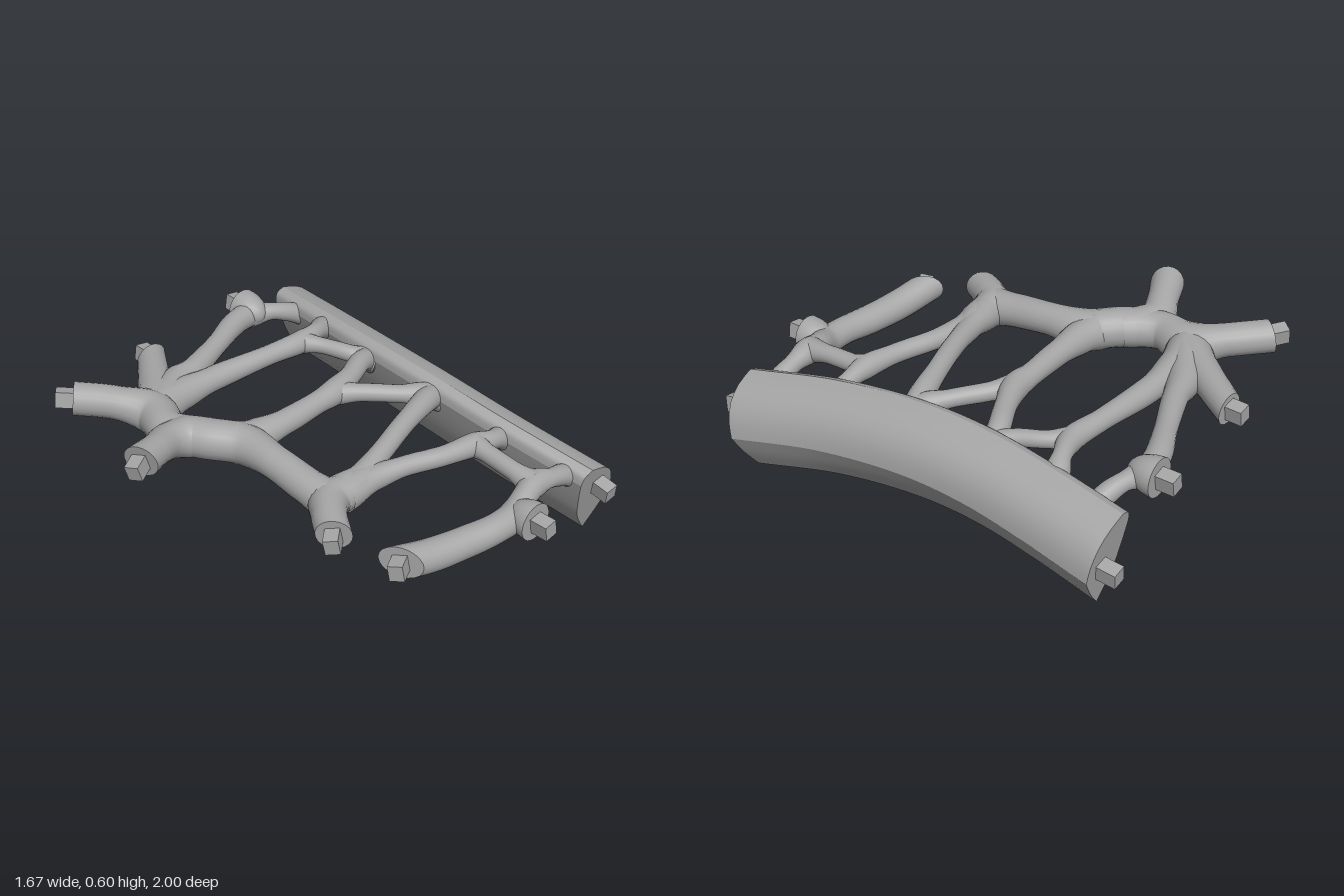
import * as THREE from 'three';
import { mergeGeometries } from 'three/addons/utils/BufferGeometryUtils.js';

const grey = new THREE.MeshStandardMaterial({ color: 0xa6a6a6, side: THREE.DoubleSide });
grey.name = 'grey';
const V = (x, y, z) => new THREE.Vector3(x, y, z);

export function createModel() {
  const group = new THREE.Group();
  const add = (name, geo) => {
    const m = new THREE.Mesh(geo, grey);
    m.name = name;
    group.add(m);
    return m;
  };

  // Square peg standing out of an end face along direction n
  const peg = (name, at, n, roll = 0.17) => {
    const m = add(name, new THREE.BoxGeometry(0.06, 0.068, 0.12));
    m.position.copy(at).addScaledVector(n, 0.013);
    m.lookAt(m.position.clone().add(n));
    m.rotateZ(roll);
  };

  // Branch through [x, y, z, radius] points; with a cut normal the start gets a flat face and a peg
  const branch = (name, pts, cut) => {
    const curve = new THREE.CatmullRomCurve3(pts.map(p => V(p[0], p[1], p[2])));
    const n = Math.ceil(curve.getLength() / 0.02), sides = 20;
    const geo = new THREE.TubeGeometry(curve, n, 1, sides);
    const pos = geo.attributes.position, p = V(), dir = cut && V(...cut).normalize();
    for (let i = 0; i <= n; i++) {
      const c = curve.getPointAt(i / n), tan = curve.getTangentAt(i / n);
      const t = curve.getUtoTmapping(i / n) * (pts.length - 1);
      const k = Math.min(Math.floor(t), pts.length - 2);
      const r = THREE.MathUtils.lerp(pts[k][3], pts[k + 1][3], THREE.MathUtils.smoothstep(t - k, 0, 1));
      for (let j = 0; j <= sides; j++) {
        const q = i * (sides + 1) + j;
        p.fromBufferAttribute(pos, q).sub(c).multiplyScalar(r);
        if (cut && i < 7) p.addScaledVector(tan, -p.dot(dir) / tan.dot(dir) * (1 - i / 7));
        p.add(c);
        pos.setXYZ(q, p.x, p.y, p.z);
      }
    }
    if (!cut) return add(name, geo);
    const c = curve.getPointAt(0), cap = new THREE.CircleGeometry(1, sides), cp = cap.attributes.position;
    cp.setXYZ(0, c.x, c.y, c.z);
    for (let j = 0; j <= sides; j++) cp.setXYZ(j + 1, pos.getX(j), pos.getY(j), pos.getZ(j));
    // Turn the cap so that it faces along the cut normal
    const a = V().fromBufferAttribute(cp, 1).sub(c), b = V().fromBufferAttribute(cp, 2).sub(c);
    if (a.cross(b).dot(dir) < 0) cap.index.array.reverse();
    cap.computeVertexNormals();
    add(name, mergeGeometries([geo, cap]));
    peg(name + 'Peg', c, dir);
  };

  // Curved edge beam: one section swept from back to front, with leaning end faces
  const path = new THREE.CatmullRomCurve3([
    V(0.838, 0.11, -0.89), V(0.788, 0.132, -0.58), V(0.75, 0.143, -0.29),
    V(0.735, 0.132, 0), V(0.75, 0.08, 0.4), V(0.808, 0, 0.8)]);
  const place = (x, y, v) => {
    const c = path.getPoint(v);
    return V(c.x + x, c.y + y * THREE.MathUtils.lerp(0.95, 1, v),
      c.z + THREE.MathUtils.lerp(-0.04, 0.09, v) * y / 0.38);
  };
  const section = [
    [[-0.1, 0], [-0.045, 0.08], [0, 0.165]],
    [[0, 0.165], [-0.012, 0.235], [-0.05, 0.305], [-0.115, 0.353], [-0.195, 0.38]],
    [[-0.195, 0.38], [-0.235, 0.362], [-0.245, 0.32]],
    [[-0.245, 0.32], [-0.22, 0.22], [-0.18, 0.11], [-0.1, 0]]
  ].map(s => new THREE.SplineCurve(s.map(p => new THREE.Vector2(...p))));
  const remap = (geo, f) => {
    const pos = geo.attributes.position;
    for (let i = 0; i < pos.count; i++) {
      const p = f(i, pos);
      pos.setXYZ(i, p.x, p.y, p.z);
    }
    geo.computeVertexNormals();
    return geo;
  };
  const faces = section.map(s => {
    const geo = new THREE.PlaneGeometry(1, 1, 8, 48);
    return remap(geo, i => {
      const p = s.getPoint(geo.attributes.uv.getX(i));
      return place(p.x, p.y, geo.attributes.uv.getY(i));
    });
  });
  for (const v of [0, 1]) {
    const outline = section.flatMap(s => s.getPoints(8).slice(0, -1));
    const cap = new THREE.ShapeGeometry(new THREE.Shape(outline));
    if (v === 0) cap.index.array.reverse();
    faces.push(remap(cap, (i, pos) => place(pos.getX(i), pos.getY(i), v)));
  }
  add('edgeBeam', mergeGeometries(faces));
  peg('beamFrontPeg', V(0.69, 0.26, 0.865), V(0, -0.2, 1).normalize());
  peg('beamBackPeg', V(0.75, 0.285, -0.918), V(0, -0.08, -1).normalize());

  // Bell-shaped bosses with a flat outer face
  for (const [name, x, y, z, s] of [['frontBoss', 0.225, 0.345, 0.92, 1], ['backBoss', 0.39, 0.475, -0.925, -1]]) {
    const dome = new THREE.SphereGeometry(0.08, 24, 10, 0, Math.PI * 2, 0, Math.PI / 2);
    dome.rotateX(-Math.PI / 2).scale(1, 1, 1.65);
    const boss = add(name, mergeGeometries([dome, new THREE.CircleGeometry(0.08, 24)]));
    boss.position.set(x, y, z);
    if (s < 0) boss.rotation.y = Math.PI;
    peg(name + 'Peg', V(x, y, z + s * 0.005), V(0, 0, s));
  }

  // Thick limbs
  branch('spine', [[-0.65, 0.515, -0.81, 0.07], [-0.54, 0.505, -0.68, 0.07], [-0.455, 0.48, -0.54, 0.09],
    [-0.485, 0.475, -0.4, 0.08], [-0.42, 0.475, -0.26, 0.085], [-0.33, 0.465, -0.13, 0.084],
    [-0.32, 0.455, 0.05, 0.069], [-0.32, 0.435, 0.22, 0.072], [-0.31, 0.42, 0.34, 0.084], [-0.3, 0.42, 0.39, 0.03]],
    [-0.75, 0.1, -0.65]);
  branch('leftLimb', [[-0.75, 0.525, -0.26, 0.072], [-0.65, 0.505, -0.3, 0.066], [-0.55, 0.485, -0.335, 0.075],
    [-0.47, 0.477, -0.32, 0.086], [-0.4, 0.475, -0.25, 0.08]], [-0.9, -0.2, 0.42]);
  branch('backLimb', [[-0.165, 0.46, -0.9, 0.062], [-0.245, 0.465, -0.79, 0.066], [-0.325, 0.47, -0.68, 0.075],
    [-0.39, 0.475, -0.6, 0.085], [-0.47, 0.48, -0.51, 0.07]], [0.05, 0, -1]);
  branch('frontLimb', [[-0.44, 0.405, 0.485, 0.07], [-0.38, 0.415, 0.4, 0.07], [-0.31, 0.42, 0.335, 0.085],
    [-0.2, 0.418, 0.335, 0.07], [-0.08, 0.418, 0.325, 0.05], [0, 0.42, 0.32, 0.025]], [-0.78, -0.1, 0.62]);
  branch('frontRail', [[-0.335, 0.355, 0.735, 0.068], [-0.2, 0.333, 0.765, 0.067], [-0.05, 0.326, 0.795, 0.064],
    [0.1, 0.33, 0.825, 0.06], [0.22, 0.338, 0.825, 0.062], [0.3, 0.368, 0.8, 0.05], [0.38, 0.383, 0.785, 0.056],
    [0.47, 0.365, 0.79, 0.04], [0.55, 0.34, 0.79, 0.046], [0.64, 0.29, 0.79, 0.05]], [-0.88, 0, 0.47]);

  // Thin struts, flared where they join
  branch('backStrut', [[-0.38, 0.475, -0.58, 0.08], [-0.23, 0.465, -0.655, 0.074], [-0.1, 0.465, -0.695, 0.052],
    [0.1, 0.465, -0.775, 0.046], [0.27, 0.47, -0.845, 0.053], [0.38, 0.465, -0.87, 0.058]]);
  branch('backBossStrut', [[0.38, 0.465, -0.86, 0.058], [0.47, 0.46, -0.82, 0.038], [0.54, 0.44, -0.795, 0.043],
    [0.64, 0.39, -0.77, 0.05]]);
  branch('secondStrut', [[-0.42, 0.475, -0.56, 0.085], [-0.28, 0.468, -0.58, 0.07], [-0.1, 0.465, -0.58, 0.054],
    [0.2, 0.47, -0.545, 0.044], [0.37, 0.472, -0.525, 0.05], [0.47, 0.465, -0.55, 0.038], [0.55, 0.44, -0.58, 0.052],
    [0.63, 0.395, -0.6, 0.06]]);
  branch('secondBrace', [[0.36, 0.472, -0.53, 0.048], [0.42, 0.465, -0.44, 0.035], [0.47, 0.455, -0.33, 0.037],
    [0.54, 0.43, -0.24, 0.055]]);
  branch('middleStrut', [[-0.36, 0.465, -0.17, 0.09], [-0.26, 0.463, -0.145, 0.07], [-0.1, 0.462, -0.135, 0.053],
    [0.08, 0.465, -0.14, 0.048], [0.2, 0.47, -0.145, 0.057], [0.33, 0.465, -0.19, 0.045], [0.46, 0.455, -0.25, 0.046],
    [0.58, 0.4, -0.28, 0.065]]);
  branch('middleBrace', [[0.18, 0.467, -0.145, 0.052], [0.28, 0.46, -0.07, 0.039], [0.39, 0.45, 0.03, 0.038],
    [0.48, 0.437, 0.1, 0.052], [0.57, 0.39, 0.15, 0.06]]);
  branch('thirdStrut', [[0.57, 0.39, 0.09, 0.06], [0.47, 0.437, 0.13, 0.053], [0.25, 0.45, 0.2, 0.044],
    [0.05, 0.44, 0.265, 0.044], [-0.1, 0.425, 0.305, 0.05], [-0.25, 0.42, 0.33, 0.075]]);
  branch('fourthStrut', [[-0.25, 0.415, 0.34, 0.072], [-0.08, 0.415, 0.345, 0.052], [0.06, 0.42, 0.38, 0.042],
    [0.22, 0.42, 0.44, 0.042], [0.37, 0.42, 0.475, 0.05], [0.46, 0.405, 0.485, 0.039], [0.53, 0.38, 0.48, 0.05],
    [0.61, 0.32, 0.48, 0.055]]);
  branch('frontBrace', [[0.37, 0.42, 0.47, 0.052], [0.37, 0.41, 0.55, 0.039], [0.365, 0.4, 0.68, 0.039],
    [0.365, 0.385, 0.79, 0.056]]);

  return group;
}
